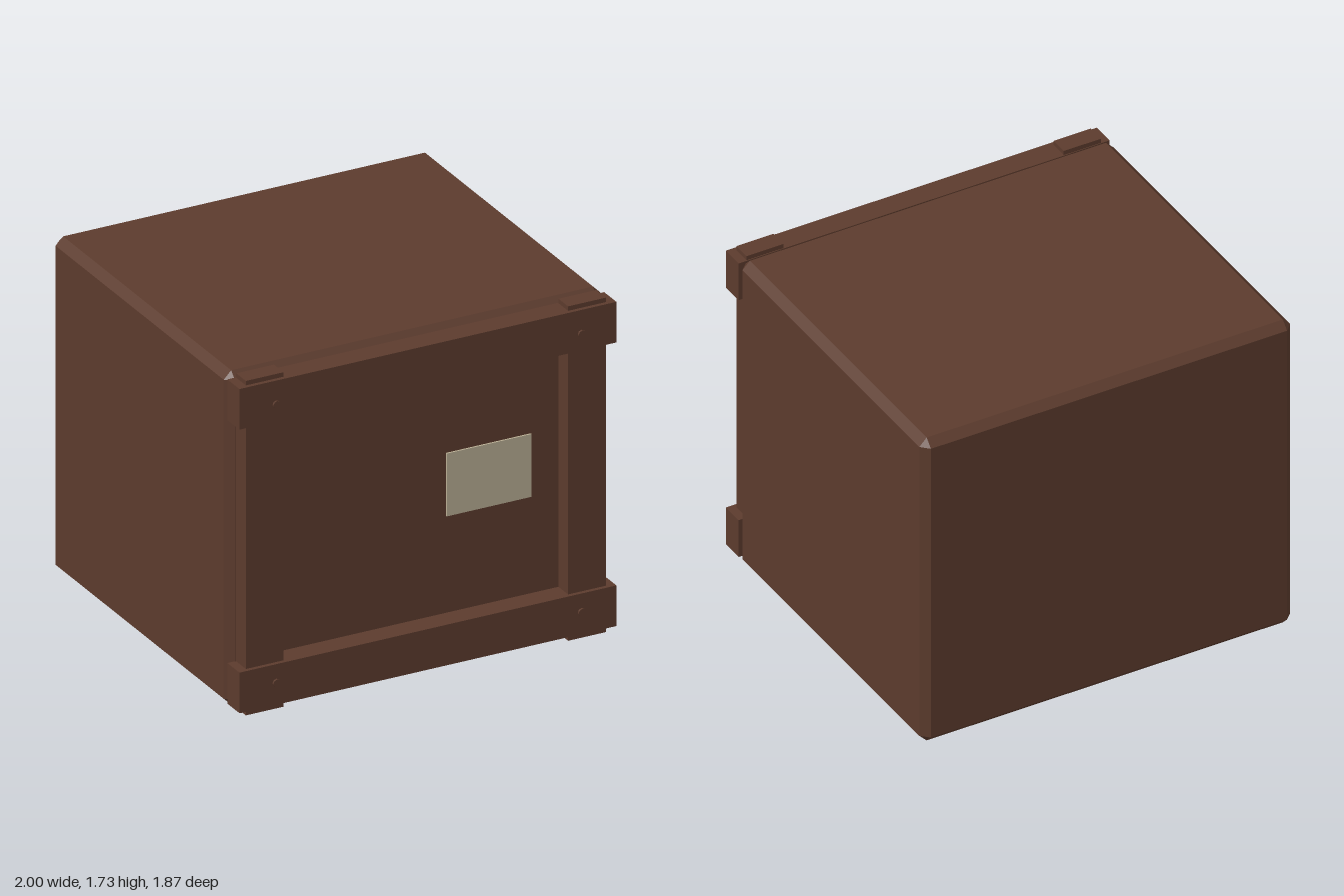
import * as THREE from 'three';
import { ConvexGeometry } from 'three/addons/geometries/ConvexGeometry.js';

// Box with flat 45 degree chamfers on all edges, centred on the origin
function chamferBox(w, h, d, c) {
  const points = [];
  for (const sx of [-1, 1]) for (const sy of [-1, 1]) for (const sz of [-1, 1]) {
    for (let axis = 0; axis < 3; axis++) {
      const inset = [c, c, c];
      inset[axis] = 0;
      points.push(new THREE.Vector3(
        sx * (w / 2 - inset[0]), sy * (h / 2 - inset[1]), sz * (d / 2 - inset[2])));
    }
  }
  return new ConvexGeometry(points);
}

export function createModel() {
  const group = new THREE.Group();
  const wood = new THREE.MeshStandardMaterial({ color: 0x5c3b2d });
  wood.name = 'brown wood';
  const paper = new THREE.MeshStandardMaterial({ color: 0xb8ad93 });
  paper.name = 'cream paper';

  function add(name, geometry, material, x, y, z) {
    const mesh = new THREE.Mesh(geometry, material);
    mesh.name = name;
    mesh.position.set(x, y, z);
    group.add(mesh);
    return mesh;
  }

  // Crate body
  add('crateBody', chamferBox(2, 1.73, 1.735, 0.04), wood, 0, 0.865, -0.0675);

  // Upright battens on the front
  for (const side of [-1, 1]) {
    add(side < 0 ? 'rightUpright' : 'leftUpright',
      new THREE.BoxGeometry(0.2, 1.73, 0.095), wood, side * 0.855, 0.865, 0.8475);
  }

  // Horizontal rails with a nail near each end
  for (const [name, y, nailY] of [['bottom', 0.135, 0.15], ['top', 1.602, 1.59]]) {
    add(name + 'Rail', new THREE.BoxGeometry(2, 0.21, 0.12), wood, 0, y, 0.856);
    for (const x of [-0.81, 0.81]) {
      const nail = new THREE.CylinderGeometry(0.02, 0.02, 0.01, 8).rotateX(Math.PI / 2);
      add(name + 'Nail', nail, wood, x, nailY, 0.93);
    }
  }

  // Blank paper label
  add('label', new THREE.BoxGeometry(0.45, 0.325, 0.009), paper, 0.315, 0.9725, 0.93);

  return group;
}
